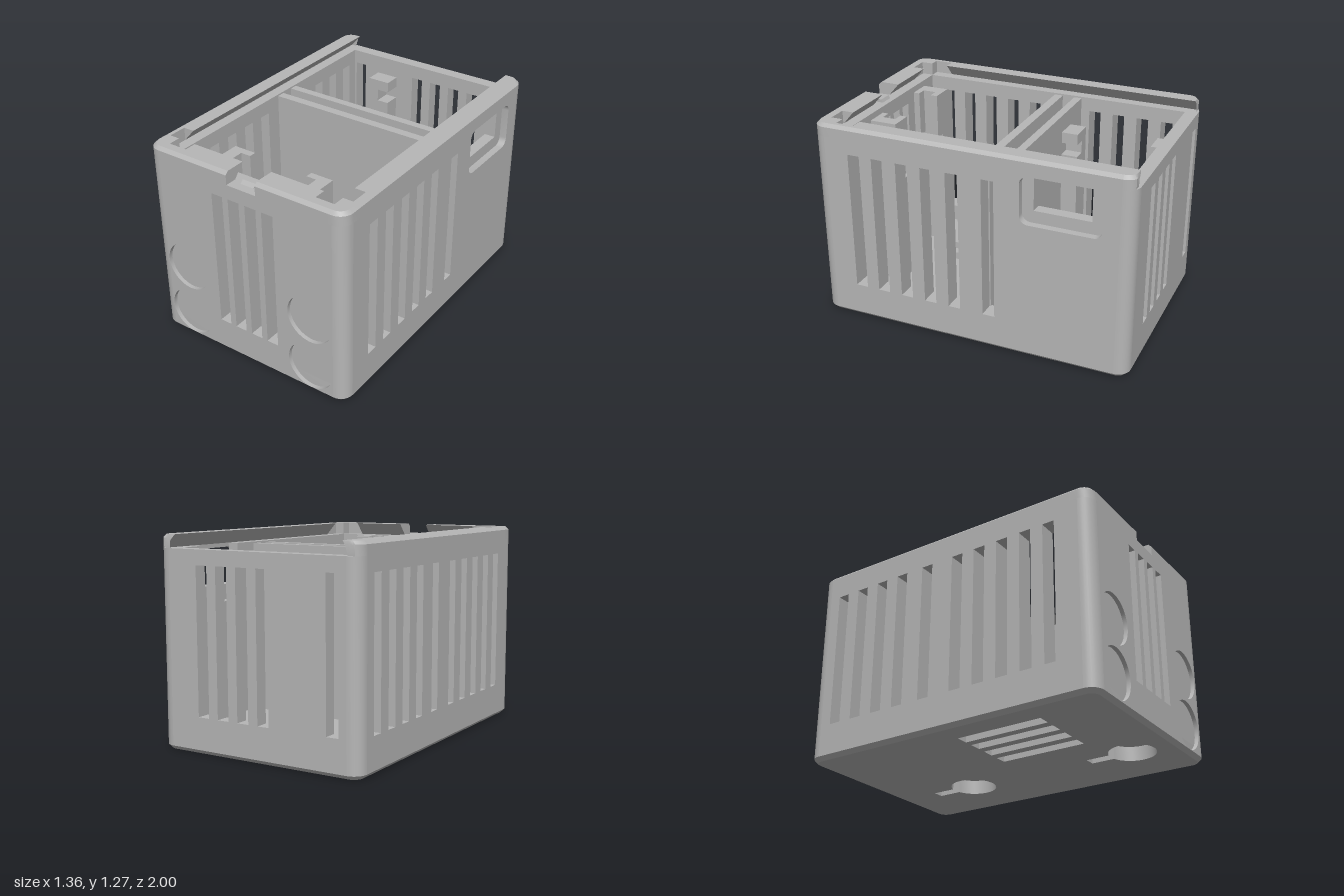
import * as THREE from 'three';
import { toCreasedNormals } from 'three/addons/utils/BufferGeometryUtils.js';

const W = 0.68, D = 1, R = 0.08;            // outer half width, half depth, corner radius
const IX = 0.565, ZF = 0.855, ZB = -0.92;   // cavity limits
const LEDGE = 1.19, TOP = 1.27, BASE = 0.025, FLOOR = 0.11;

export function createModel() {
  const group = new THREE.Group();
  const plastic = new THREE.MeshStandardMaterial({ color: 0xb6b6b6 });
  plastic.name = 'grey plastic';

  const add = (name, geo) => {
    const mesh = new THREE.Mesh(geo, plastic);
    mesh.name = name;
    group.add(mesh);
  };
  const box = (name, x0, x1, y0, y1, z0, z1) => {
    const g = new THREE.BoxGeometry(x1 - x0, y1 - y0, z1 - z0);
    g.translate((x0 + x1) / 2, (y0 + y1) / 2, (z0 + z1) / 2);
    add(name, g);
  };

  // 2D outlines
  const poly = (pts) => new THREE.Shape(pts.map(([u, v]) => new THREE.Vector2(u, v)));
  const rect = (u0, u1, v0, v1) => poly([[u0, v0], [u1, v0], [u1, v1], [u0, v1]]);
  const slots = (centers, w = 0.077) => centers.map((c) => rect(c - w / 2, c + w / 2, 0.22, 1.1));
  const disc = (u, v, r) => new THREE.Shape().absarc(u, v, r, 0, Math.PI * 2, false);
  const roundRect = (u0, u1, v0, v1, r, n = 8) => {
    const pts = [];
    [[u1 - r, v1 - r], [u0 + r, v1 - r], [u0 + r, v0 + r], [u1 - r, v0 + r]].forEach(([cu, cv], k) => {
      for (let i = 0; i <= n; i++) {
        const a = (k + i / n) * Math.PI / 2;
        pts.push([cu + r * Math.cos(a), cv + r * Math.sin(a)]);
      }
    });
    return pts;
  };

  // flat plate with holes, between two positions along an axis
  const plate = (name, axis, from, to, shape, holes = []) => {
    shape.holes = holes;
    const g = new THREE.ExtrudeGeometry(shape, { depth: to - from, bevelEnabled: false, curveSegments: 32 });
    if (axis === 'x') g.rotateY(-Math.PI / 2).translate(to, 0, 0);       // outline in z, y
    else if (axis === 'y') g.rotateX(Math.PI / 2).translate(0, to, 0);   // outline in x, z
    else g.translate(0, 0, from);                                        // outline in x, y
    add(name, toCreasedNormals(g, 0.5));
  };

  // solid through plan outlines [x, z] stacked at rising heights
  const loft = (name, levels, caps = true) => {
    const rings = levels.map(([y, pts]) => pts.map(([x, z]) => new THREE.Vector3(x, y, z)));
    const flat = (ring) => ring.map((p) => new THREE.Vector2(p.x, p.z));
    if (THREE.ShapeUtils.isClockWise(flat(rings[0]))) rings.forEach((r) => r.reverse());
    const tris = [], n = rings[0].length;
    for (let k = 0; k < rings.length - 1; k++) {
      for (let i = 0; i < n; i++) {
        const j = (i + 1) % n, a = rings[k], b = rings[k + 1];
        tris.push(a[i], b[j], a[j], a[i], b[i], b[j]);
      }
    }
    if (caps) {
      const lo = rings[0], hi = rings[rings.length - 1];
      THREE.ShapeUtils.triangulateShape(flat(lo), []).forEach(([a, b, c]) => tris.push(lo[a], lo[b], lo[c]));
      THREE.ShapeUtils.triangulateShape(flat(hi), []).forEach(([a, b, c]) => tris.push(hi[a], hi[c], hi[b]));
    }
    const g = new THREE.BufferGeometry().setFromPoints(tris);
    add(name, toCreasedNormals(g, 0.5));
  };
  // rounded corner outline; sx, sz pick the corner, (xi, zi) is its inner point
  const corner = (sx, sz, xi, zi, inset = 0, zMax = D) => {
    const pts = [[sx * xi, sz * zi], [sx * (W - inset), sz * zi]];
    for (let i = 0; i <= 8; i++) {
      const a = i / 8 * Math.PI / 2, r = R - inset;
      pts.push([sx * (W - R + r * Math.cos(a)), sz * Math.min(zMax, D - R + r * Math.sin(a))]);
    }
    pts.push([sx * xi, sz * Math.min(zMax, D - inset)]);
    return pts;
  };

  // floor: chamfered edge, vent slots and blind keyholes underneath
  const vents = () => [-0.472, -0.343, -0.212, -0.078].map((x) => rect(x - 0.039, x + 0.039, 0, 0.555));
  const keyhole = (x, z) => {
    const r = 0.145, a = Math.asin(0.035 / r);
    const s = new THREE.Shape();
    s.absarc(x, z, r, -Math.PI / 2 + a, Math.PI * 1.5 - a, false);
    s.lineTo(x - 0.035, z - 0.29);
    s.lineTo(x + 0.035, z - 0.29);
    s.closePath();
    return s;
  };
  const c = BASE;
  const footprint = roundRect(-W + c, W - c, -D + c, D - c, R - c);
  plate('floorUnderside', 'y', 0, 0.09, poly(footprint), [...vents(), keyhole(0.25, -0.43), keyhole(0.25, 0.72)]);
  plate('floor', 'y', 0.09, FLOOR, rect(-0.6, 0.6, -0.95, 0.92), vents());
  loft('bottomChamfer', [[0, footprint], [c, roundRect(-W, W, -D, D, R)]], false);

  // side walls: slots on both sides, stepped window on the +x side
  const sideSlots = [0.728, 0.57, 0.41, 0.25, 0.09, -0.135];
  const zEnd = D - R;
  plate('leftWallOuter', 'x', 0.635, W, rect(-zEnd, zEnd, BASE, LEDGE),
    [...slots(sideSlots), poly(roundRect(-0.82, -0.33, 0.87, 1.165, 0.05))]);
  plate('leftWallInner', 'x', IX, 0.635,
    poly([[-zEnd, BASE], [zEnd, BASE], [zEnd, LEDGE], [-0.4, LEDGE], [-0.4, 0.945], [-0.745, 0.945], [-0.745, LEDGE], [-zEnd, LEDGE]]),
    slots(sideSlots));
  plate('rightWall', 'x', -W, -IX, rect(-zEnd, zEnd, BASE, LEDGE), slots([...sideSlots, -0.33, -0.49, -0.65, -0.81]));

  // front wall with four shallow round recesses, back wall with slots
  const xEnd = W - R, frontSlots = [-0.177, -0.06, 0.058, 0.174];
  const recesses = [];
  for (const x of [-0.445, 0.445]) for (const y of [0.18, 0.51]) recesses.push(disc(x, y, 0.154));
  plate('frontWallOuter', 'z', 0.975, D, rect(-xEnd, xEnd, BASE, LEDGE), [...slots(frontSlots), ...recesses]);
  plate('frontWallInner', 'z', ZF, 0.975, rect(-xEnd, xEnd, BASE, LEDGE), slots(frontSlots));
  plate('backWall', 'z', -D, ZB, rect(-xEnd, xEnd, BASE, LEDGE), slots([0.363, 0.223, 0.083, -0.057, -0.512]));

  // lid rail: dovetail lip on three sides, with pockets near the front corners
  const M = TOP - 0.02;
  for (const s of [-1, 1]) {
    for (const sz of [-1, 1]) {
      loft('cornerPost', [[BASE, corner(s, sz, xEnd, zEnd)], [LEDGE, corner(s, sz, xEnd, zEnd)]]);
    }
    const side = (xi, xo, z0, z1) => [[s * xi, z0], [s * xo, z0], [s * xo, z1], [s * xi, z1]];
    loft('sideRail', [[LEDGE, side(0.635, W, -zEnd, 0.74)], [M, side(0.583, W, -zEnd, 0.74)], [TOP, side(IX, W - 0.02, -zEnd, 0.74)]]);
    loft('sideRailPocket', [[LEDGE, side(0.635, W, 0.74, ZF)], [M, side(0.635, W, 0.74, ZF)], [TOP, side(0.635, W - 0.02, 0.74, ZF)]]);
    loft('railBackEnd', [[LEDGE, corner(s, -1, 0.635, zEnd, 0, 0.985)], [M, corner(s, -1, 0.583, zEnd, 0, 0.985)],
      [TOP, corner(s, -1, IX, zEnd, 0.02, 0.985)]]);
    loft('railFrontCorner', [[LEDGE, corner(s, 1, 0.57, ZF)], [M, corner(s, 1, 0.57, ZF)], [TOP, corner(s, 1, 0.57, ZF, 0.02)]]);
    const front = (x0, x1, zi, zo) => [[s * x0, zi], [s * x1, zi], [s * x1, zo], [s * x0, zo]];
    loft('frontRailPocket', [[LEDGE, front(0.45, 0.57, 0.93, D)], [M, front(0.45, 0.57, 0.93, D)], [TOP, front(0.45, 0.57, 0.93, D - 0.02)]]);
    loft('frontRail', [[LEDGE, front(0.1, 0.45, 0.925, D)], [M, front(0.1, 0.45, 0.873, D)], [TOP, front(0.1, 0.45, ZF, D - 0.02)]]);
  }
  // latch bump in the front notch
  const bump = (z0, z1) => [[-0.045, z0], [0.045, z0], [0.045, z1], [-0.045, z1]];
  loft('latchBump', [[LEDGE, bump(0.89, 0.945)], [1.21, bump(0.9, 0.925)]]);

  // double divider with a cable opening low down
  for (const [z0, z1] of [[-0.235, -0.185], [-0.105, -0.05]]) {
    plate('divider', 'z', z0, z1, poly([[-0.58, 0.1], [0.12, 0.1], [0.12, 0.32], [0.35, 0.32], [0.35, 0.1], [0.58, 0.1], [0.58, 1.18], [-0.58, 1.18]]));
  }

  // channelled board posts behind the front wall, open towards the middle
  for (const s of [-1, 1]) {
    const block = (name, xa, xb, y0, y1, z0, z1) =>
      box(name, Math.min(s * xa, s * xb), Math.max(s * xa, s * xb), y0, y1, z0, z1);
    block('boardPost', 0.265, 0.345, 0.1, LEDGE, 0.63, 0.8);
    for (const [y0, y1] of [[0.1, 0.8], [0.9, LEDGE]]) {
      block('boardPostLip', 0.2, 0.265, y0, y1, 0.63, 0.675);
      block('boardPostLip', 0.2, 0.265, y0, y1, 0.76, 0.8);
    }
  }

  // notched clips in the rear compartment
  for (const [z0, z1] of [[ZB - 0.01, -0.81], [-0.34, -0.225]]) {
    box('clipNeck', -0.37, -0.3, 0.1, 1.07, z0, z1);
    box('clipLower', -0.3, -0.22, 0.1, 0.92, z0, z1);
    box('clipUpper', -0.3, -0.22, 1.0, 1.07, z0, z1);
  }
  box('windowBracket', 0.5, 0.575, 0.1, 0.85, -0.67, -0.49);

  return group;
}
